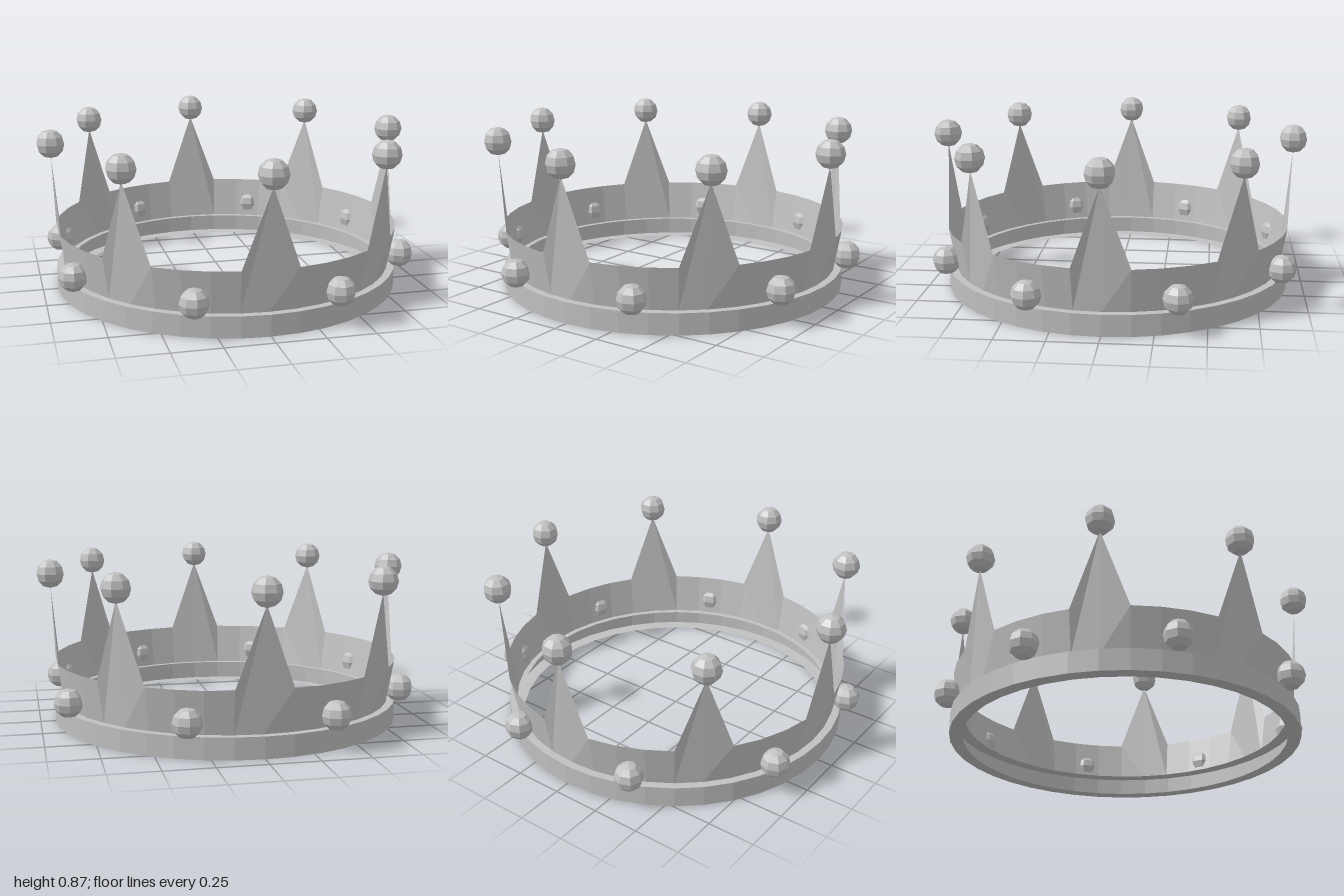
import * as THREE from 'three';

const SEGMENTS = 40; // five per spike: two carry the spike, three the low wall between
const SPIKES = 8;

const metal = new THREE.MeshStandardMaterial({ color: 0xc0c0c0, flatShading: true, side: THREE.DoubleSide });
metal.name = 'grey metal';

function faceted(geometry) {
  const flat = geometry.index ? geometry.toNonIndexed() : geometry;
  flat.computeVertexNormals();
  return flat;
}

function part(name, geometry) {
  const mesh = new THREE.Mesh(geometry, metal);
  mesh.name = name;
  return mesh;
}

// Point on a circle of radius r, with angle zero at the front
function ringPoint(i, r, y) {
  const a = (i / SEGMENTS) * Math.PI * 2;
  return [r * Math.sin(a), y, r * Math.cos(a)];
}

// Thin flared wall whose top edge rises to a point at every fifth column
function wallGeometry() {
  const bottom = (i) => ringPoint(i, 0.88, 0.11);
  const top = (i) => (i % 5 === 0 ? ringPoint(i, 0.93, 0.73) : ringPoint(i, 0.918, 0.33));
  const positions = [];
  for (let i = 0; i < SEGMENTS; i++) {
    positions.push(...bottom(i), ...bottom(i + 1), ...top(i + 1));
    positions.push(...bottom(i), ...top(i + 1), ...top(i));
  }
  const geometry = new THREE.BufferGeometry();
  geometry.setAttribute('position', new THREE.Float32BufferAttribute(positions, 3));
  return faceted(geometry);
}

export function createModel() {
  const crown = new THREE.Group();
  crown.name = 'crown';

  // Base band: a channel that is open on the inside
  const profile = [[0.85, 0], [0.92, 0], [0.92, 0.11], [0.85, 0.11]].map(([x, y]) => new THREE.Vector2(x, y));
  crown.add(part('baseBand', faceted(new THREE.LatheGeometry(profile, SEGMENTS))));
  crown.add(part('spikedWall', wallGeometry()));

  // Balls on the spike tips and studs set in the wall between them
  const ball = faceted(new THREE.SphereGeometry(0.075, 8, 6).rotateY(Math.PI / 8));
  const ballRing = (name, radius, y, offset) => {
    for (let k = 0; k < SPIKES; k++) {
      const a = ((k + offset) / SPIKES) * Math.PI * 2;
      const mesh = part(name, ball);
      mesh.position.set(radius * Math.sin(a), y, radius * Math.cos(a));
      mesh.rotation.y = a;
      crown.add(mesh);
    }
  };
  ballRing('tipBall', 0.93, 0.79, 0);
  ballRing('wallStud', 0.942, 0.18, 0.5);

  return crown;
}
